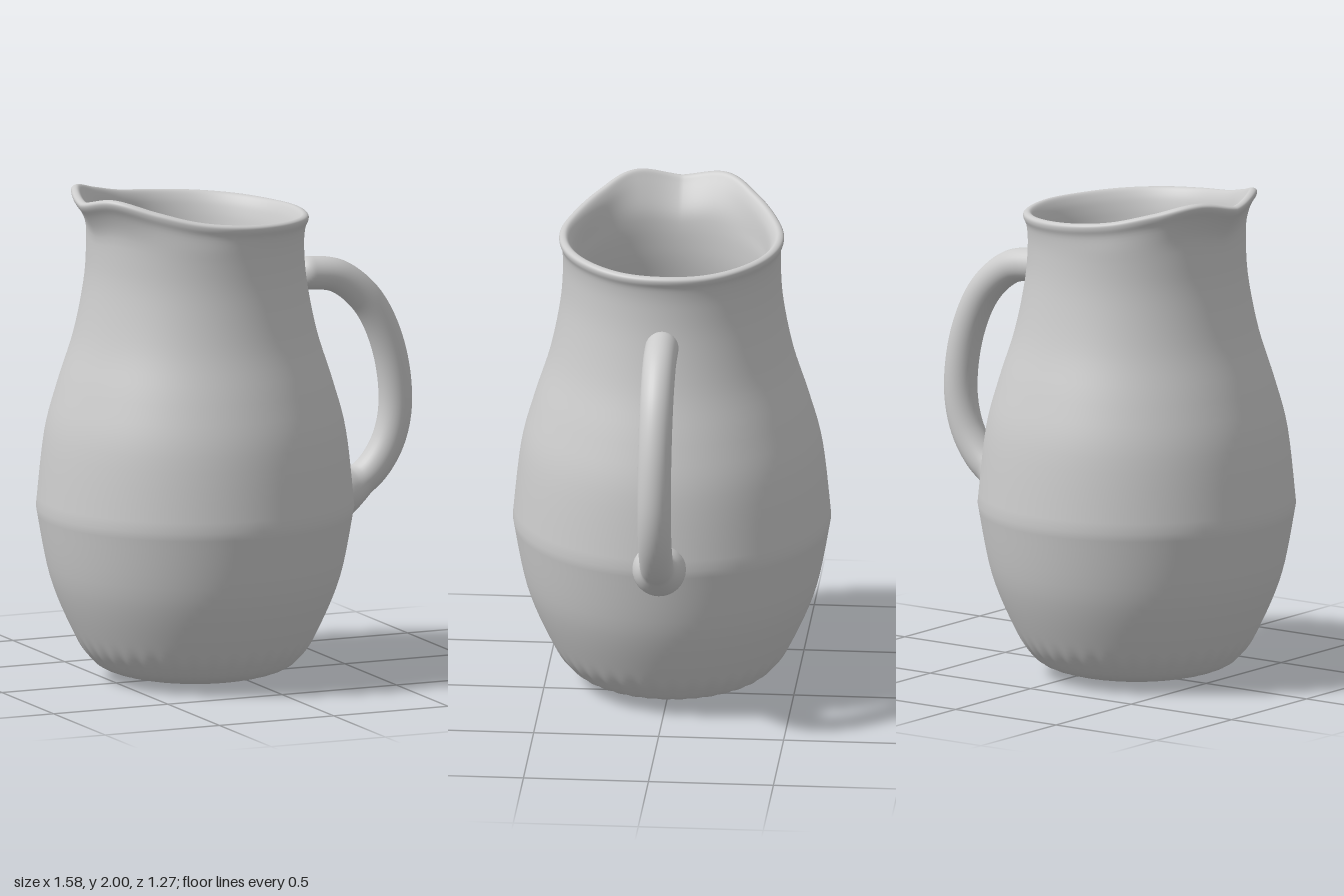
import * as THREE from 'three';
import { mergeVertices } from 'three/addons/utils/BufferGeometryUtils.js';

const BODY_X = -0.155;
const smooth = THREE.MathUtils.smoothstep;
const spline = (pts) => new THREE.SplineCurve(pts.map(([x, y]) => new THREE.Vector2(x, y)));

// Values spaced evenly from the spout (angle 0) round to the handle (angle PI)
const around = (values) => {
  const curve = spline(values.map((v, i) => [i, v]));
  return (angle) => curve.getPoint(Math.min(angle / Math.PI, 1)).y;
};
const rimLift = around([0.085, 0.12, 0.082, 0.045, 0.027, 0.017, 0.009, 0.002, 0.002]);
const rimReach = around([0.05, 0.04, 0, -0.012, -0.005, 0, 0, 0, 0]);

// Weld seams and shade smoothly
function weld(geometry) {
  geometry.deleteAttribute('normal');
  geometry.deleteAttribute('uv');
  const welded = mergeVertices(geometry, 1e-5);
  welded.computeVertexNormals();
  return welded;
}

// Hollow pot: lower and upper outer wall, rolled rim, inner wall and floor
function bodyGeometry() {
  const profile = [
    ...spline([[0, 0.004], [0.2, 0.013], [0.35, 0.045], [0.425, 0.1], [0.49, 0.2],
      [0.58, 0.42], [0.635, 0.7]]).getPoints(36),
    ...spline([[0.635, 0.7], [0.602, 1], [0.55, 1.2], [0.487, 1.4], [0.447, 1.6],
      [0.435, 1.74], [0.439, 1.82], [0.452, 1.855], [0.452, 1.872], [0.44, 1.88],
      [0.425, 1.878], [0.41, 1.86], [0.395, 1.83], [0.38, 1.78], [0.372, 1.72],
      [0.382, 1.6], [0.424, 1.4], [0.488, 1.2], [0.54, 1], [0.57, 0.7],
      [0.518, 0.42], [0.425, 0.2], [0.35, 0.12], [0.2, 0.08], [0, 0.07]]).getPoints(120).slice(1),
  ];
  profile[0].x = profile[profile.length - 1].x = 0;
  const geometry = new THREE.LatheGeometry(profile, 288);
  const pos = geometry.attributes.position;
  for (let i = 0; i < pos.count; i++) {
    const x = pos.getX(i), y = pos.getY(i), z = pos.getZ(i);
    const r = Math.hypot(x, z);
    if (r < 1e-6) continue;
    const angle = Math.abs(Math.atan2(z, -x));
    // Pull the rim up and out into the spout
    const lift = smooth(y, 1.68, 1.875) * rimLift(angle);
    const reach = smooth(y, 1.77, 1.87) * rimReach(angle);
    // Faint flutes where the wall turns into the base
    const flute = 0.004 * Math.cos(36 * angle) * smooth(r, 0.27, 0.4) * (1 - smooth(y, 0.09, 0.2));
    const k = (r + reach + flute) / r;
    pos.setXYZ(i, x * k, y + lift, z * k);
  }
  return weld(geometry);
}

// Round handle with a domed upper end and a flared foot
function handleGeometry() {
  const path = new THREE.CatmullRomCurve3([
    [0.285, 1.603], [0.35, 1.603], [0.47, 1.58], [0.6, 1.47], [0.69, 1.28], [0.721, 1.05],
    [0.69, 0.9], [0.62, 0.79], [0.55, 0.737], [0.455, 0.702],
  ].map(([x, y]) => new THREE.Vector3(x, y, 0)));
  const rings = 160, sides = 32, length = path.getLength();
  const geometry = new THREE.TubeGeometry(path, rings, 1, sides);
  const pos = geometry.attributes.position;
  const v = new THREE.Vector3();
  const dome = (s, size) => Math.sqrt(Math.max(0, 1 - (1 - Math.min(s / size, 1)) ** 2));
  for (let i = 0; i <= rings; i++) {
    const centre = path.getPointAt(i / rings);
    const start = (i / rings) * length, end = length - start;
    const flare = 0.042 * (1 - smooth(end, 0.01, 0.14));
    const radius = (0.067 + flare) * dome(start, 0.06) * dome(end, 0.025);
    for (let j = 0; j <= sides; j++) {
      const n = i * (sides + 1) + j;
      v.fromBufferAttribute(pos, n).sub(centre).multiplyScalar(radius).add(centre);
      pos.setXYZ(n, v.x, v.y, v.z);
    }
  }
  return weld(geometry);
}

export function createModel() {
  const group = new THREE.Group();
  group.name = 'pitcher';
  const material = new THREE.MeshStandardMaterial({ color: 0xcccccc });

  const body = new THREE.Mesh(bodyGeometry(), material);
  body.name = 'body';
  body.position.x = BODY_X;

  const handle = new THREE.Mesh(handleGeometry(), material);
  handle.name = 'handle';

  group.add(body, handle);
  return group;
}
